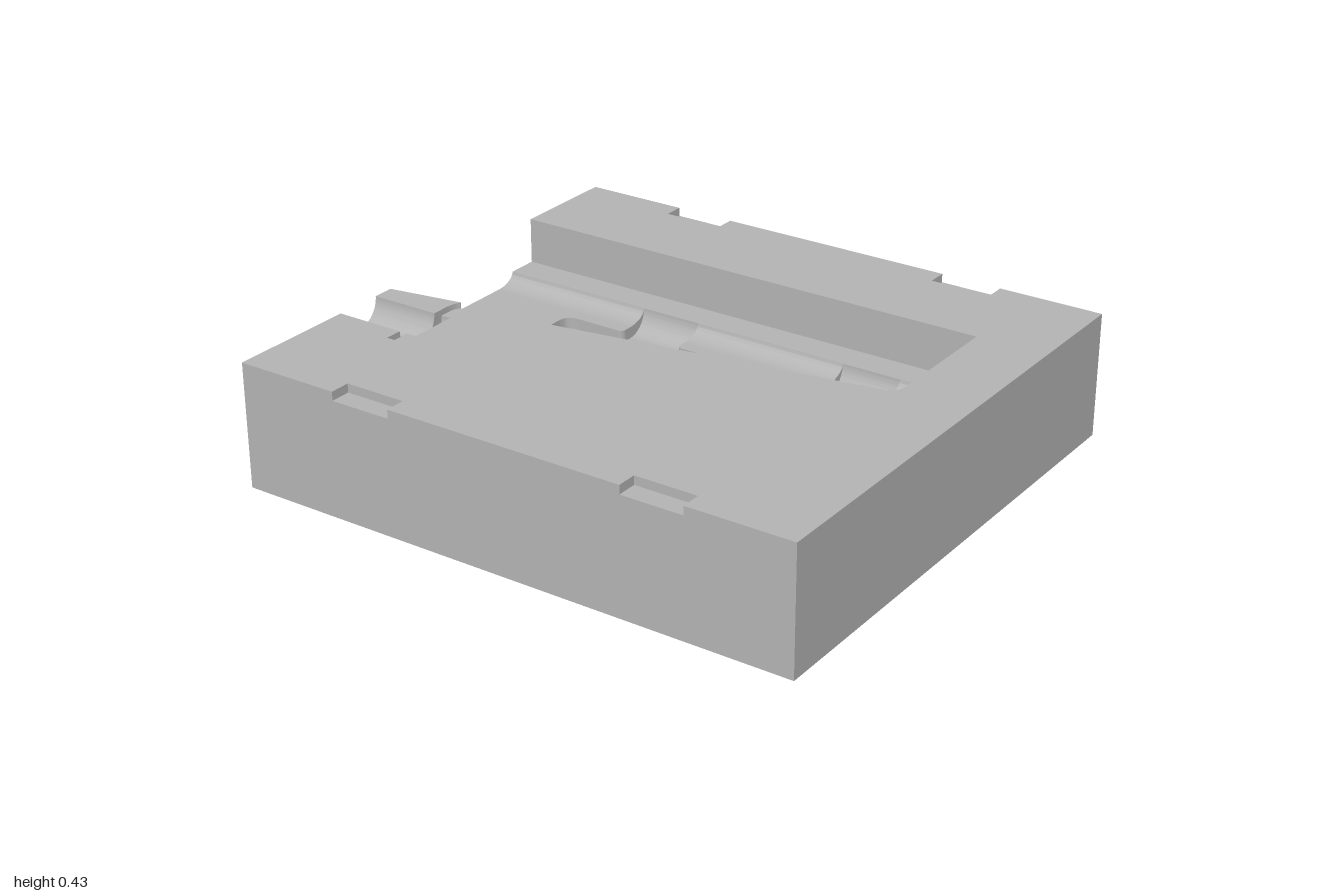
import * as THREE from 'three';
import { toCreasedNormals } from 'three/addons/utils/BufferGeometryUtils.js';

const W = 1, D = 0.912;
// Heights of the stacked levels
const Y = { pocket: 0.19, floor: 0.23, shelf: 0.27, groove: 0.345, notch: 0.4, top: 0.43 };

// Samples a rounded corner between two points
function bend(a, c, b) {
  const v = (p) => new THREE.Vector2(p[0], p[1]);
  return new THREE.QuadraticBezierCurve(v(a), v(c), v(b)).getPoints(8).map((p) => [p.x, p.y]);
}

// Plan points are [x, z]
function planShape(points) {
  return new THREE.Shape(points.map(([x, z]) => new THREE.Vector2(x, -z)));
}

export function createModel() {
  const group = new THREE.Group();
  const grey = new THREE.MeshStandardMaterial({ color: 0xb4b4b4 });

  function add(name, geometry) {
    const mesh = new THREE.Mesh(toCreasedNormals(geometry, 0.5), grey);
    mesh.name = name;
    group.add(mesh);
    return mesh;
  }

  // Flat slab between two heights, with round holes
  function slab(name, shapes, y0, y1) {
    const g = new THREE.ExtrudeGeometry(shapes, { depth: y1 - y0, bevelEnabled: false, curveSegments: 24 });
    g.rotateX(-Math.PI / 2).translate(0, y0, 0);
    return add(name, g);
  }

  function drill(shape, blind) {
    const hole = (x, z, r) => shape.holes.push(new THREE.Path().absarc(x, -z, r, 0, Math.PI * 2, true));
    for (const z of [-0.72, 0.72]) {
      for (const x of [-0.79, 0.79]) hole(x, z, 0.06);
      if (blind) hole(0, z, 0.056);
    }
    return shape;
  }

  // Profile swept along a straight plan line; profile x points to the left of travel
  function sweep(name, profile, from, to, y) {
    const dx = to[0] - from[0], dz = to[1] - from[1];
    const g = new THREE.ExtrudeGeometry(profile, { depth: Math.hypot(dx, dz), bevelEnabled: false, curveSegments: 16 });
    g.rotateY(Math.atan2(dx, dz)).translate(from[0], y, from[1]);
    return add(name, g);
  }

  // Hollow fillet for the foot of a wall
  function fillet(name, from, to, y, w, h) {
    const s = new THREE.Shape();
    s.moveTo(0, 0);
    s.lineTo(w, 0);
    s.absellipse(w, h, w, h, -Math.PI / 2, -Math.PI, true);
    s.lineTo(0, 0);
    sweep(name, s, from, to, y);
  }

  // Shared outline pieces
  const right = (notched) => {
    if (!notched) return [[-W, -D], [W, -D], [W, D], [-W, D]];
    const edge = (s) => [-0.635, -0.42, 0.42, 0.635].flatMap((x, i) =>
      i % 2 ? [[x, s * (D - 0.07)], [x, s * D]] : [[x, s * D], [x, s * (D - 0.07)]]);
    return [[-W, -D], ...edge(-1), [W, -D], [W, D], ...edge(1).reverse(), [-W, D]];
  };
  const slantEnd = bend([0.7, -0.03], [0.755, -0.038], [0.755, -0.09]);
  const slotBend = bend([-0.725, 0.25], [-0.725, 0.205], [-0.68, 0.197]);
  const tabs = [[-0.44, -0.22], [0.34, 0.55]];
  const back = -0.42, lip = -0.295;

  // Base
  slab('base', drill(planShape(right(false)), false), 0, Y.pocket);

  // Level around the deepest pocket
  const pocketLevel = drill(planShape(right(false)), false);
  const tabEdge = [...tabs].reverse().flatMap(([a, b]) => [
    ...bend([b + 0.02, lip], [b, lip], [b, lip - 0.02]), [b, back],
    [a, back], ...bend([a, lip - 0.02], [a, lip], [a - 0.02, lip])]);
  pocketLevel.holes.push(planShape([
    [-0.67, 0.195], ...slantEnd,
    ...bend([0.755, -0.25], [0.755, lip], [0.71, lip]), ...tabEdge,
    ...bend([-0.625, lip], [-0.67, lip], [-0.67, -0.25])]));
  slab('pocketLevel', pocketLevel, Y.pocket, Y.floor);

  // Level around the open floor
  slab('floorLevel', drill(planShape([...right(false), [-W, 0.217], [-0.67, 0.162], [-0.67, 0.195],
    ...slantEnd, [0.755, back], [-W, back]]), false), Y.floor, Y.shelf);

  // Level with the back shelf and the bent slot
  slab('shelfLevel', drill(planShape([...right(false), [-W, 0.217], [-0.74, 0.174],
    ...bend([-0.74, 0.178], [-0.752, 0.19], [-0.755, 0.23]), [-0.755, 0.52], [-0.725, 0.52],
    ...slotBend, ...slantEnd, [0.755, -0.53], [-W, -0.53]]), true), Y.shelf, Y.groove);

  // Upper levels, cut through by the dowel groove
  const upper = (notched) => [
    drill(planShape([...right(notched), [-W, 0.46], [-0.755, 0.46], [-0.755, 0.52], [-0.725, 0.52],
      [-0.725, 0.46], [-0.69, 0.46], [-0.69, 0.29], [-0.725, 0.29],
      ...slotBend, ...slantEnd, [0.755, -0.53], [-W, -0.53]]), true),
    planShape([[-W, 0.29], [-W, 0.217], [-0.74, 0.174],
      ...bend([-0.74, 0.178], [-0.752, 0.19], [-0.755, 0.23]), [-0.755, 0.29]])];
  slab('upperLevel', upper(false), Y.groove, Y.notch);
  slab('notchedTop', upper(true), Y.notch, Y.top);

  // Half-round dowel groove on either side of the slot
  const trough = new THREE.Shape();
  trough.moveTo(-0.085, -0.09);
  trough.lineTo(0.085, -0.09);
  trough.lineTo(0.085, 0);
  trough.absarc(0, 0, 0.0849, 0, -Math.PI, true);
  trough.lineTo(-0.085, 0);
  sweep('dowelGrooveOuter', trough, [-W, 0.375], [-0.755, 0.375], Y.top);
  sweep('dowelGrooveInner', trough, [-0.725, 0.375], [-0.69, 0.375], Y.top);

  // Fillets along the back step, deeper inside the two tabs
  const stops = [-W, ...tabs.flat(), 0.755];
  for (let i = 0; i < stops.length - 1; i++) {
    const y = i % 2 ? Y.pocket : Y.floor;
    fillet('backFillet', [stops[i + 1], back], [stops[i], back], y, 0.08, Y.shelf - y);
  }

  // Fillets along the slanted wall
  fillet('slantFilletOuter', [-W, 0.217], [-0.67, 0.162], Y.floor, 0.05, 0.04);
  fillet('slantFilletInner', [-0.67, 0.195], [0.68, -0.027], Y.pocket, 0.06, 0.06);

  // Slanted ribs standing in the pocket
  const ribs = [[-0.155, -0.185, -0.085, -0.065], [0.03, -0.185, 0.08, -0.095], [0.215, -0.185, 0.255, -0.12]];
  for (const [x0, z0, x1, z1] of ribs) {
    const a = Math.atan2(z0 - z1, x1 - x0), r = 0.022;
    const s = new THREE.Shape();
    s.absarc(x0, -z0, r, a + Math.PI / 2, a + Math.PI * 1.5, false);
    s.absarc(x1, -z1, r, a - Math.PI / 2, a + Math.PI / 2, false);
    slab('rib', s, Y.pocket, 0.265);
  }

  // Small pin at the narrow end of the slanted wall
  const pin = new THREE.Shape().absarc(0, 0, 0.028, 0, Math.PI * 2, false);
  sweep('endPin', pin, [0.67, -0.052], [0.757, -0.068], 0.25);

  return group;
}
